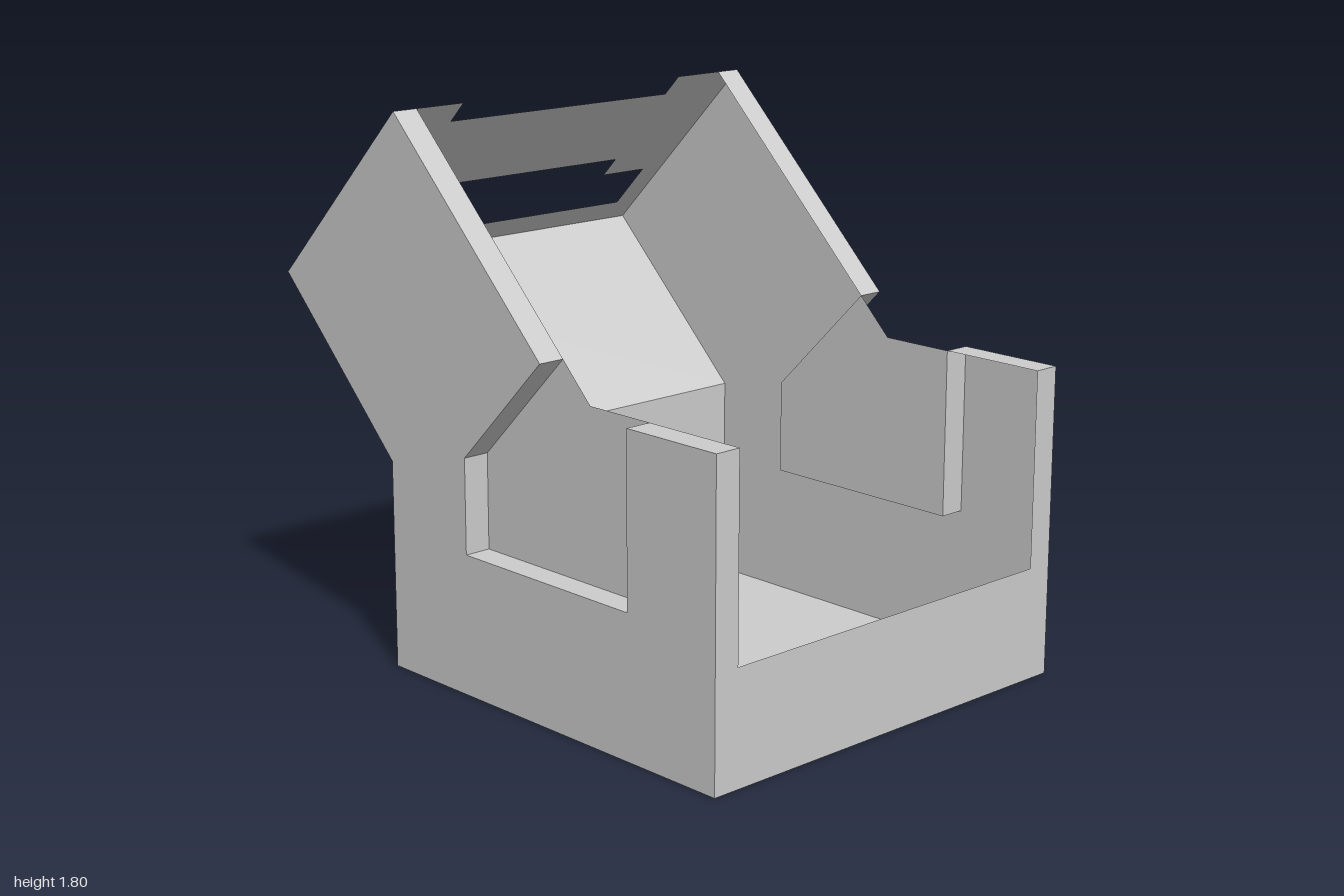
import * as THREE from 'three';

const W = 0.735; // outer half width
const I = 0.645; // inner half width of the side rims
const material = new THREE.MeshStandardMaterial({ color: 0xcccccc, flatShading: true, side: THREE.DoubleSide });

// side outlines as [z, y]
const rim = [[1, 0.37], [1, 1.01], [0.635, 1.01], [0.635, 0.46], [-0.1, 0.46], [-0.1, 0.77], [0.26, 1.13], [-0.415, 1.8]];
const back = [[-1, 1.215], [-0.465, 0.685], [-0.465, 0], [1, 0], [1, 0.37]];
const recess = [[0.635, 1.01], [0.635, 0.46], [-0.1, 0.46], [-0.1, 0.77], [0.26, 1.13], [0.38, 1.01]];

function named(geometry, name) {
  const mesh = new THREE.Mesh(geometry, material);
  mesh.name = name;
  return mesh;
}

function shapeOf(points) {
  return new THREE.Shape(points.map(([x, y]) => new THREE.Vector2(x, y)));
}

// thin sheet that follows a [z, y] path and runs from x0 to x1
function band(path, x0, x1, name) {
  const pos = [];
  for (let i = 0; i + 1 < path.length; i++) {
    const [az, ay] = path[i];
    const [bz, by] = path[i + 1];
    pos.push(x0, ay, az, x1, ay, az, x1, by, bz);
    pos.push(x0, ay, az, x1, by, bz, x0, by, bz);
  }
  const geometry = new THREE.BufferGeometry();
  geometry.setAttribute('position', new THREE.Float32BufferAttribute(pos, 3));
  geometry.computeVertexNormals();
  return named(geometry, name);
}

// flat sheet with a [z, y] outline at a given x, facing outwards
function sideSheet(outline, x, name) {
  const s = Math.sign(x);
  const geometry = new THREE.ShapeGeometry(shapeOf(outline.map(([z, y]) => [-s * z, y])));
  geometry.rotateY(s * Math.PI / 2).translate(x, 0, 0);
  return named(geometry, name);
}

export function createModel() {
  const model = new THREE.Group();
  model.name = 'openHolder';

  // slanted back, back wall, bottom and low front wall
  model.add(band(back, -W, W, 'bodyShell'));

  // side walls, their rims and the set-in recess panels
  for (const s of [1, -1]) {
    const side = new THREE.Group();
    side.name = s > 0 ? 'leftSide' : 'rightSide';
    side.add(sideSheet([...rim, ...back.slice(0, 4)], s * W, 'sideWall'));
    side.add(sideSheet(recess, s * I, 'recessPanel'));
    side.add(s > 0 ? band(rim, I, W, 'sideRim') : band(rim, -W, -I, 'sideRim'));
    model.add(side);
  }

  // slanted top panel with a notched edge and a stepped slot
  const k = Math.SQRT2;
  const top = 0.585 * k, notch = 0.52 * k, n = 0.46;
  const low = 0.07 * k, mid = 0.205 * k, high = 0.267 * k;
  const panel = shapeOf([[-W, 0], [W, 0], [W, top], [n, top], [n, notch], [-n, notch], [-n, top], [-W, top]]);
  panel.holes.push(shapeOf([[-I, low], [-I, mid], [-n, mid], [-n, high], [n, high], [n, mid], [I, mid], [I, low]]));
  const geometry = new THREE.ShapeGeometry(panel);
  geometry.rotateY(Math.PI).rotateX(Math.PI / 4).translate(0, 1.215, -1);
  model.add(named(geometry, 'slottedTopPanel'));

  return model;
}
